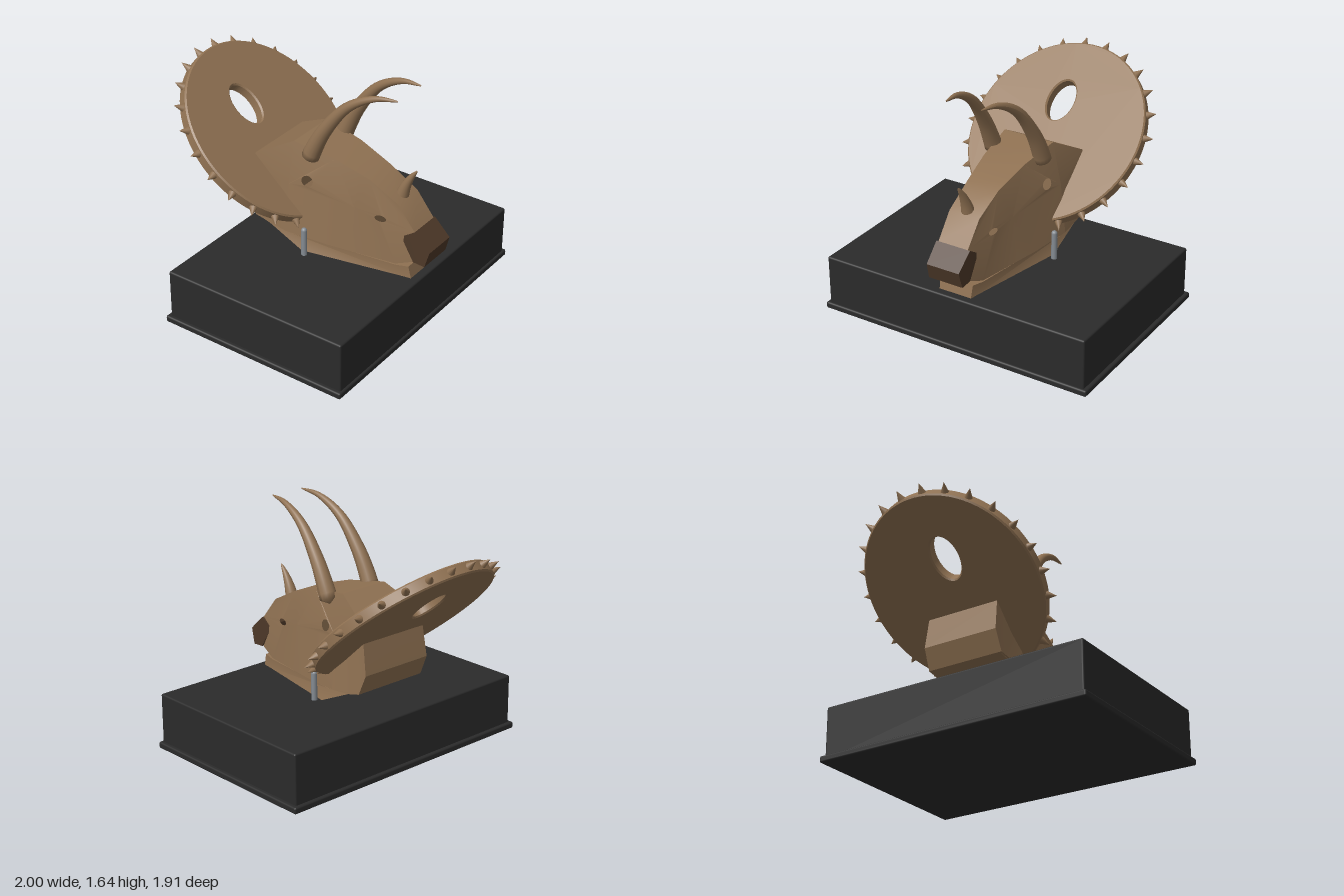
import * as THREE from 'three';
import { toCreasedNormals } from 'three/addons/utils/BufferGeometryUtils.js';
import { RoundedBoxGeometry } from 'three/addons/geometries/RoundedBoxGeometry.js';

const paint = (name, color) => {
  const m = new THREE.MeshStandardMaterial({ color });
  m.name = name;
  return m;
};

const part = (parent, name, geometry, material) => {
  const m = new THREE.Mesh(geometry, material);
  m.name = name;
  parent.add(m);
  return m;
};

// Interpolate rows [z, ...values] (z falling) at z
function sample(rows, z, k) {
  let i = 0;
  while (i < rows.length - 2 && z < rows[i + 1][0]) i++;
  const a = rows[i], b = rows[i + 1];
  const t = THREE.MathUtils.clamp((a[0] - z) / (a[0] - b[0]), 0, 1);
  return a[k] + (b[k] - a[k]) * t;
}

// Side profile [z, y] extruded across x, half width set by width(z, y)
function slab(profile, width, hole) {
  const shape = new THREE.Shape(profile.map(([z, y]) => new THREE.Vector2(-z, y)));
  if (hole) {
    const [z, y, rz, ry] = hole;
    shape.holes.push(new THREE.Path().absellipse(-z, y, rz, ry, 0, Math.PI * 2, true));
  }
  const g = new THREE.ExtrudeGeometry(shape, { depth: 2, bevelEnabled: false, curveSegments: 12 });
  g.translate(0, 0, -1).rotateY(Math.PI / 2);
  const p = g.attributes.position;
  for (let i = 0; i < p.count; i++) p.setX(i, p.getX(i) * width(p.getZ(i), p.getY(i)));
  return toCreasedNormals(g, 0.5);
}

// Curved horn: a tube tapering to a point, closed at its root
function horn(points, radius) {
  const n = 24, sides = 16;
  const curve = new THREE.CatmullRomCurve3(points.map((p) => new THREE.Vector3(...p)));
  const g = new THREE.TubeGeometry(curve, n, radius, sides, false);
  const p = g.attributes.position, v = new THREE.Vector3();
  for (let i = 0; i < p.count; i++) {
    const ring = Math.floor(i / (sides + 1)), t = ring / n;
    const c = curve.getPointAt(t);
    const s = ring === 0 ? 0 : Math.pow(1 - t, 0.75) + 0.06 * t;
    v.fromBufferAttribute(p, i).sub(c).multiplyScalar(s).add(c);
    p.setXYZ(i, v.x, v.y, v.z);
  }
  g.computeVertexNormals();
  return g;
}

export function createModel() {
  const model = new THREE.Group();
  model.name = 'mountedSkull';
  const bone = paint('bone brown', 0x8f7152);
  const dark = paint('beak brown', 0x4d3828);
  const black = paint('plinth black', 0x2b2b2b);
  const steel = paint('post grey', 0x848b92);

  // Plinth with a lip around its foot
  part(model, 'plinth', new RoundedBoxGeometry(1.95, 0.38, 1.36, 2, 0.012), black).position.set(0, 0.2, 0.205);
  part(model, 'plinthLip', new RoundedBoxGeometry(2, 0.045, 1.4, 2, 0.012), black).position.set(0, 0.0225, 0.2);

  // Skull: z, top y, bottom y, half width at top and at bottom
  const rows = [
    [0.84, 0.74, 0.52, 0.11, 0.115],
    [0.71, 0.9, 0.475, 0.112, 0.14],
    [0.5, 1.01, 0.48, 0.12, 0.185],
    [0.25, 1.09, 0.49, 0.15, 0.24],
    [-0.05, 1.14, 0.505, 0.185, 0.285],
    [-0.31, 1.0, 0.54, 0.255, 0.28],
  ];
  const skullWidth = (z, y) => {
    const top = sample(rows, z, 1), bottom = sample(rows, z, 2);
    const t = THREE.MathUtils.clamp((top - y) / (top - bottom), 0, 1);
    return THREE.MathUtils.lerp(sample(rows, z, 3), sample(rows, z, 4), Math.pow(t, 0.6));
  };
  const skull = new THREE.Group();
  skull.name = 'skull';
  model.add(skull);
  part(skull, 'snout', slab([
    [0.84, 0.74], [0.71, 0.9], [0.5, 1.01], [0.42, 1.036], [0.42, 0.8],
    [0.42, 0.483], [0.72, 0.472], [0.84, 0.52],
  ], skullWidth, [0.6, 0.77, 0.04, 0.021]), bone);
  part(skull, 'cheeks', slab([
    [0.42, 1.036], [0.25, 1.09], [-0.05, 1.14], [-0.05, 0.85],
    [-0.05, 0.505], [0.25, 0.49], [0.42, 0.483], [0.42, 0.8],
  ], skullWidth, [0.08, 0.9, 0.041, 0.038]), bone);
  part(skull, 'skullBack', slab([
    [-0.05, 1.14], [-0.31, 1.0], [-0.33, 0.88], [-0.36, 0.68],
    [-0.3, 0.54], [-0.05, 0.505], [-0.05, 0.85],
  ], skullWidth), bone);

  // Lower jaw, widening toward the back
  part(model, 'jaw', slab([
    [0.81, 0.475], [0.83, 0.385], [0.08, 0.385], [-0.19, 0.51], [-0.29, 0.535], [0, 0.495], [0.72, 0.465],
  ], (z) => THREE.MathUtils.clamp(0.285 - z * 0.2, 0.115, 0.272)), bone);

  // Beak tip
  part(model, 'beak', slab([
    [0.96, 0.63], [0.84, 0.74], [0.77, 0.695], [0.77, 0.65], [0.845, 0.525], [0.93, 0.52],
  ], (z) => (z > 0.95 ? 0.12 : 0.126)), dark);

  // Horns
  part(model, 'noseHorn', horn([
    [0, 0.86, 0.655], [0, 0.97, 0.69], [0, 1.05, 0.73], [0, 1.115, 0.775],
  ], 0.05), bone);
  for (const s of [1, -1]) {
    part(model, s > 0 ? 'leftBrowHorn' : 'rightBrowHorn', horn([
      [s * 0.185, 1.04, 0.07], [s * 0.187, 1.15, 0.115], [s * 0.182, 1.31, 0.2],
      [s * 0.168, 1.515, 0.365], [s * 0.148, 1.617, 0.55], [s * 0.128, 1.637, 0.7],
    ], 0.062), bone);
  }

  // Tilted frill plate with an off-centre opening
  const frill = new THREE.Group();
  frill.name = 'frill';
  frill.position.set(0, 1.02, -0.41);
  frill.rotation.x = -THREE.MathUtils.degToRad(48);
  model.add(frill);
  const rx = 0.625, ry = 0.667, bevel = 0.01;
  const plate = new THREE.Shape().absellipse(0, 0, rx - bevel, ry - bevel, 0, Math.PI * 2);
  plate.holes.push(new THREE.Path().absellipse(-0.05, 0.218, 0.095 + bevel, 0.15 + bevel, 0, Math.PI * 2, true));
  const plateGeometry = new THREE.ExtrudeGeometry(plate, {
    depth: 0.065, bevelThickness: bevel, bevelSize: bevel, bevelSegments: 1, curveSegments: 48,
  }).translate(0, 0, -0.0325);
  part(frill, 'frillPlate', toCreasedNormals(plateGeometry, 0.5), bone);

  // Spikes around the frill's rim
  const spike = new THREE.ConeGeometry(0.031, 0.075, 12).translate(0, 0.027, 0);
  for (const s of [1, -1]) {
    for (let i = 0; i < 11; i++) {
      const a = s * THREE.MathUtils.degToRad(7.3 + 14.6 * i);
      const m = part(frill, 'frillSpike', spike, bone);
      m.position.set(rx * Math.sin(a), ry * Math.cos(a), 0);
      m.rotation.z = -a;
    }
  }

  // Support posts
  for (const s of [1, -1]) {
    const post = part(model, 'supportPost', new THREE.CapsuleGeometry(0.02, 0.2, 6, 16), steel);
    post.position.set(s * 0.297, 0.475, 0.11);
  }

  return model;
}
